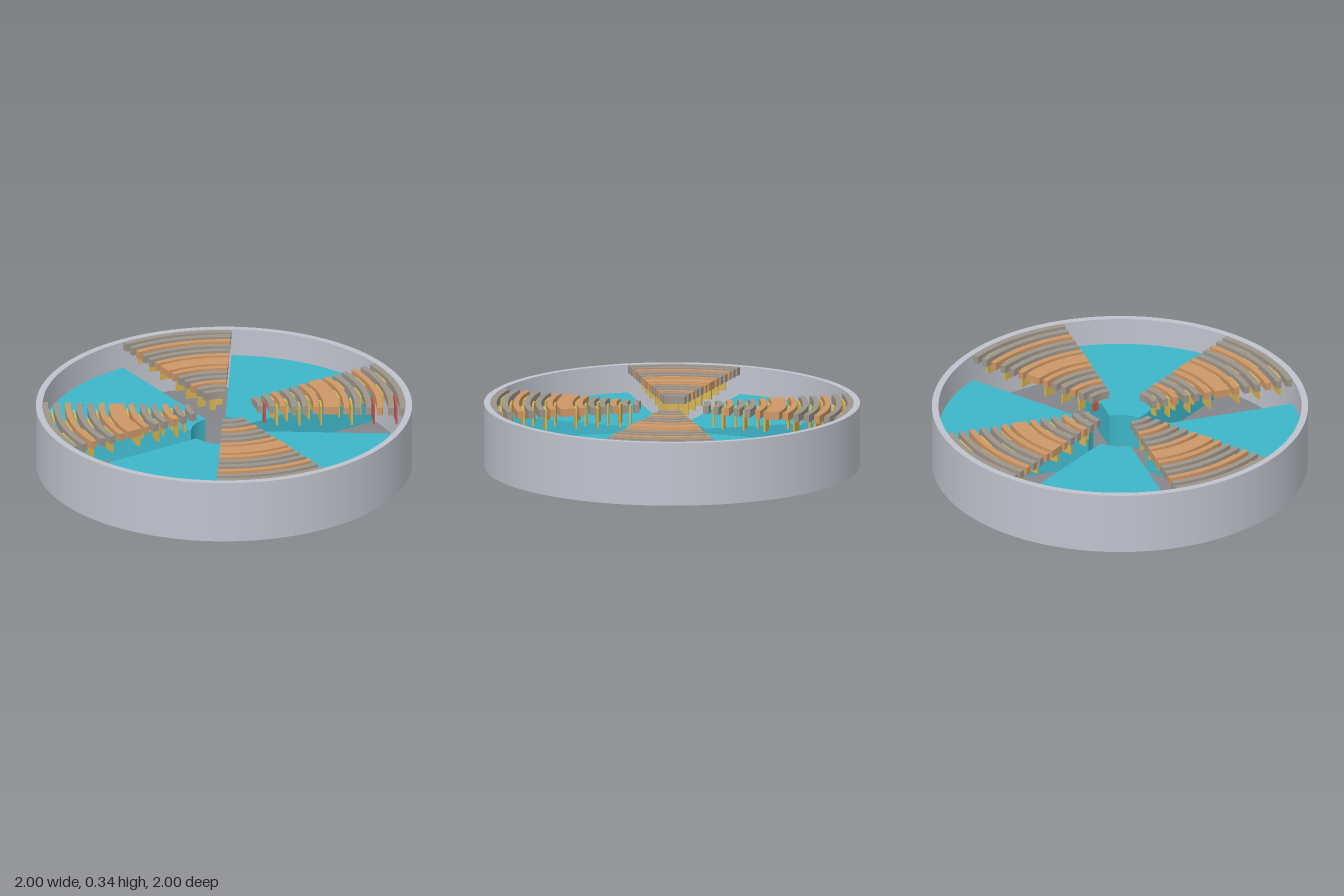
import * as THREE from 'three';
import { mergeGeometries } from 'three/addons/utils/BufferGeometryUtils.js';

const HEIGHT = 0.34, INNER = 0.175, OUTER = 0.965, MID = 0.57;

const paint = (name, color) => {
  const m = new THREE.MeshStandardMaterial({ color });
  m.name = name;
  return m;
};

// Annular sector between two radii and two angles (degrees), from y0 to y1
function sector(r0, r1, a0, a1, y0, y1, segments) {
  const s = a0 * Math.PI / 180, e = a1 * Math.PI / 180;
  const shape = new THREE.Shape();
  shape.absarc(0, 0, r1, s, e, false);
  shape.absarc(0, 0, r0, e, s, true);
  shape.closePath();
  const g = new THREE.ExtrudeGeometry(shape, { depth: y1 - y0, bevelEnabled: false, curveSegments: segments });
  g.rotateX(-Math.PI / 2);
  return g.translate(0, y0, 0);
}

// Square-section ring with crisp rims and smooth walls
function ringGeometry() {
  const p = [[OUTER, 0], [1, 0], [1, HEIGHT], [OUTER, HEIGHT]].map(([x, y]) => new THREE.Vector2(x, y));
  return mergeGeometries(p.map((a, i) => new THREE.LatheGeometry([a, p[(i + 1) % 4]], 96)));
}

export function createModel() {
  const silver = paint('silver', 0xc0c3cd);
  const teal = paint('teal', 0x3eb6c9);
  const copper = paint('copper', 0xcc9767);
  const taupe = paint('taupe', 0x9d958b);
  const gold = paint('gold', 0xd6b452);
  const red = paint('red', 0xc4574a);

  const model = new THREE.Group();
  const add = (parent, name, geometry, material) => {
    const mesh = new THREE.Mesh(geometry, material);
    mesh.name = name;
    parent.add(mesh);
  };

  add(model, 'outerRing', ringGeometry(), silver);

  // Concentric bars: a wide one in the middle, six narrow ones on each side
  const bars = [{ r0: MID - 0.042, r1: MID + 0.042, mat: copper }];
  for (const side of [-1, 1]) {
    for (let i = 0; i < 6; i++) {
      const r = MID + side * (0.08 + 0.0595 * i);
      bars.push({ r0: r - 0.0155, r1: r + 0.0155, mat: i % 3 === 0 ? copper : taupe });
    }
  }
  bars.sort((a, b) => a.r0 - b.r0);
  for (const b of bars) b.geo = sector(b.r0, Math.min(b.r1, OUTER), 0, 36, 0.295, HEIGHT - 0.002, 14);

  // Thin hanging blades in the gaps, staggered from gap to gap
  const blades = [];
  for (let i = 0; i < bars.length - 1; i++) {
    const r = (bars[i].r1 + bars[i + 1].r0) / 2;
    const spans = i % 2 ? [[4, 13], [23, 32]] : [[13.5, 22.5]];
    spans.forEach(([a, b], k) => blades.push({
      geo: sector(r - 0.005, r + 0.005, a, b, 0.215, 0.325, 5),
      accent: k === 0 && (i === 0 || i === 9 || i === 11),
    }));
  }

  const wedge = sector(INNER, OUTER, 36, 90, 0.003, 0.19, 24);

  // Four quarter turns of wedge plus bar stack
  for (let q = 0; q < 4; q++) {
    const quarter = new THREE.Group();
    quarter.name = 'quarter';
    quarter.rotation.y = q * Math.PI / 2;
    add(quarter, 'wedge', wedge, teal);
    for (const b of bars) add(quarter, 'arcBar', b.geo, b.mat);
    for (const b of blades) add(quarter, 'hangingBlade', b.geo, b.accent && q === 0 ? red : gold);
    model.add(quarter);
  }
  return model;
}
